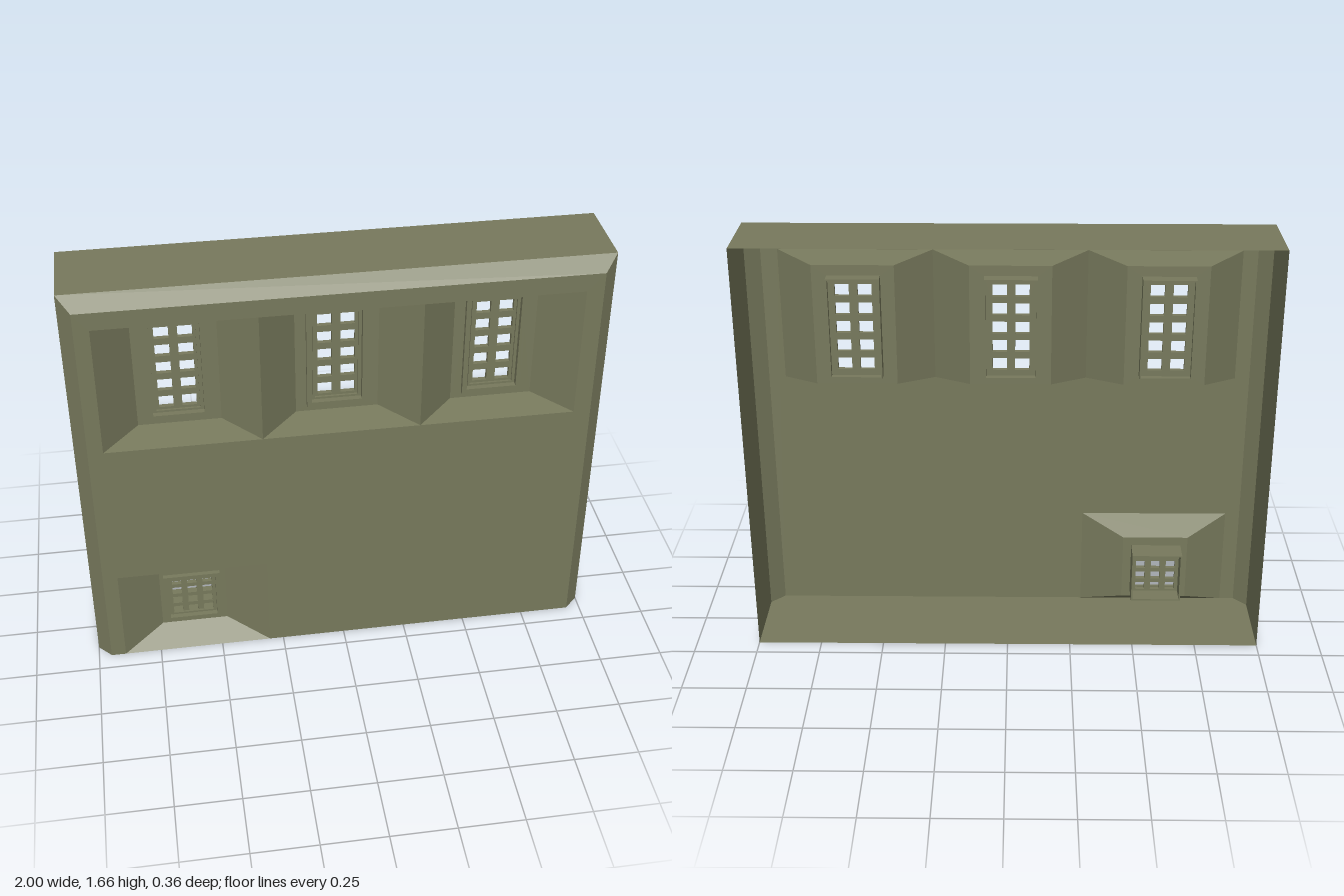
import * as THREE from 'three';

const olive = new THREE.MeshStandardMaterial({ color: 0x77795c, side: THREE.DoubleSide, flatShading: true });

function add(parent, name, geometry, z = 0) {
  const mesh = new THREE.Mesh(geometry, olive);
  mesh.name = name;
  mesh.position.z = z;
  parent.add(mesh);
  return mesh;
}

// Rectangles are [x0, y0, x1, y1]
const corners = ([x0, y0, x1, y1]) => [[x0, y0], [x1, y0], [x1, y1], [x0, y1]];
const shapeOf = (points) => new THREE.Shape(points.map(([x, y]) => new THREE.Vector2(x, y)));
const inset = ([x0, y0, x1, y1], d) => [x0 + d, y0 + d, x1 - d, y1 - d];

function plate(points, holes) {
  const shape = shapeOf(points);
  shape.holes = holes.map((h) => shapeOf(corners(h)));
  return shape;
}

// Walls joining a front rectangle at z0 to a back rectangle at z1
function funnel(front, z0, back, z1, sides = [0, 1, 2, 3]) {
  const a = corners(front), b = corners(back), pos = [];
  for (const i of sides) {
    const j = (i + 1) % 4;
    const q = [[...a[i], z0], [...a[j], z0], [...b[j], z1], [...b[i], z1]];
    for (const k of [0, 1, 2, 0, 2, 3]) pos.push(...q[k]);
  }
  const g = new THREE.BufferGeometry();
  g.setAttribute('position', new THREE.Float32BufferAttribute(pos, 3));
  g.computeVertexNormals();
  return g;
}

const extrude = (shape, depth) => new THREE.ExtrudeGeometry(shape, { depth, bevelEnabled: false });

// Splayed niche with a barred window set in its back panel
function windowNiche(name, o) {
  const group = new THREE.Group();
  group.name = name;
  add(group, 'nicheWalls', funnel(o.outer, 0.18, o.inner, o.z));
  const opening = inset(o.frame, 0.018);
  add(group, 'nichePanel', new THREE.ShapeGeometry(plate(corners(o.inner), [opening])), o.z);
  // Raised front rim and the sleeve behind it
  add(group, 'windowRim', extrude(plate(corners(o.frame), [opening]), 0.018), o.z);
  const sleeve = inset(o.frame, 0.012);
  add(group, 'windowSleeve', extrude(plate(corners(sleeve), [opening]), o.z - o.back), o.back);
  // Grille with rows and columns of small openings
  const cx = (o.frame[0] + o.frame[2]) / 2, holes = [];
  for (let c = 0; c < o.cols; c++) {
    for (let r = 0; r < o.rows; r++) {
      const x = cx + (c - (o.cols - 1) / 2) * o.stepX;
      const y = o.y0 + r * o.stepY;
      holes.push([x - o.w / 2, y - o.h / 2, x + o.w / 2, y + o.h / 2]);
    }
  }
  add(group, 'grille', extrude(plate(corners(opening), holes), 0.018), o.z - 0.022);
  // Slim inner moulding around the grille
  add(group, 'innerMoulding', extrude(plate(corners(inset(opening, 0.006)), [inset(opening, 0.014)]), 0.01), o.z - 0.006);
  return group;
}

export function createModel() {
  const model = new THREE.Group();
  model.name = 'wallSection';

  // Front wall, notched at the foot and cut out along the upper windows
  const front = [[-0.95, 0], [-0.893, 0], [-0.893, 0.406], [-0.305, 0.406], [-0.305, 0],
    [0.947, 0], [0.947, 1.61], [-0.95, 1.61]];
  add(model, 'frontWall', new THREE.ShapeGeometry(plate(front, [[-0.893, 1.013, 0.882, 1.54]])), 0.18);

  // Chamfer on the sides and top, then the returns running back
  const outer = [-1, 0, 1, 1.66];
  add(model, 'chamfer', funnel([-0.95, 0, 0.947, 1.61], 0.18, outer, 0.127, [1, 2, 3]));
  add(model, 'sideAndTopReturns', funnel(outer, 0.127, outer, -0.18, [1, 2, 3]));

  // Floor
  const floor = shapeOf([[-1, 0.18], [1, 0.18], [1, -0.127], [0.947, -0.18], [-0.95, -0.18], [-1, -0.127]]);
  add(model, 'floor', new THREE.ShapeGeometry(floor)).rotation.x = -Math.PI / 2;

  // Three tall upper windows
  const edges = [-0.893, -0.305, 0.289, 0.882];
  for (let i = 0; i < 3; i++) {
    const cx = -0.604 + i * 0.593;
    model.add(windowNiche('upperWindow' + (i + 1), {
      outer: [edges[i], 1.013, edges[i + 1], 1.54],
      inner: [cx - 0.154, 1.037, cx + 0.158, 1.519],
      frame: [cx - 0.113, 1.065, cx + 0.113, 1.49],
      z: 0.055, back: 0.01, cols: 2, rows: 5, stepX: 0.086, stepY: 0.0745, y0: 1.131, w: 0.054, h: 0.048,
    }));
  }

  // Small window at the foot of the wall
  model.add(windowNiche('lowerWindow', {
    outer: [-0.893, 0, -0.305, 0.406],
    inner: [-0.733, 0.065, -0.47, 0.342],
    frame: [-0.717, 0.085, -0.492, 0.318],
    z: 0.09, back: 0, cols: 3, rows: 4, stepX: 0.061, stepY: 0.05, y0: 0.128, w: 0.037, h: 0.033,
  }));
  return model;
}
